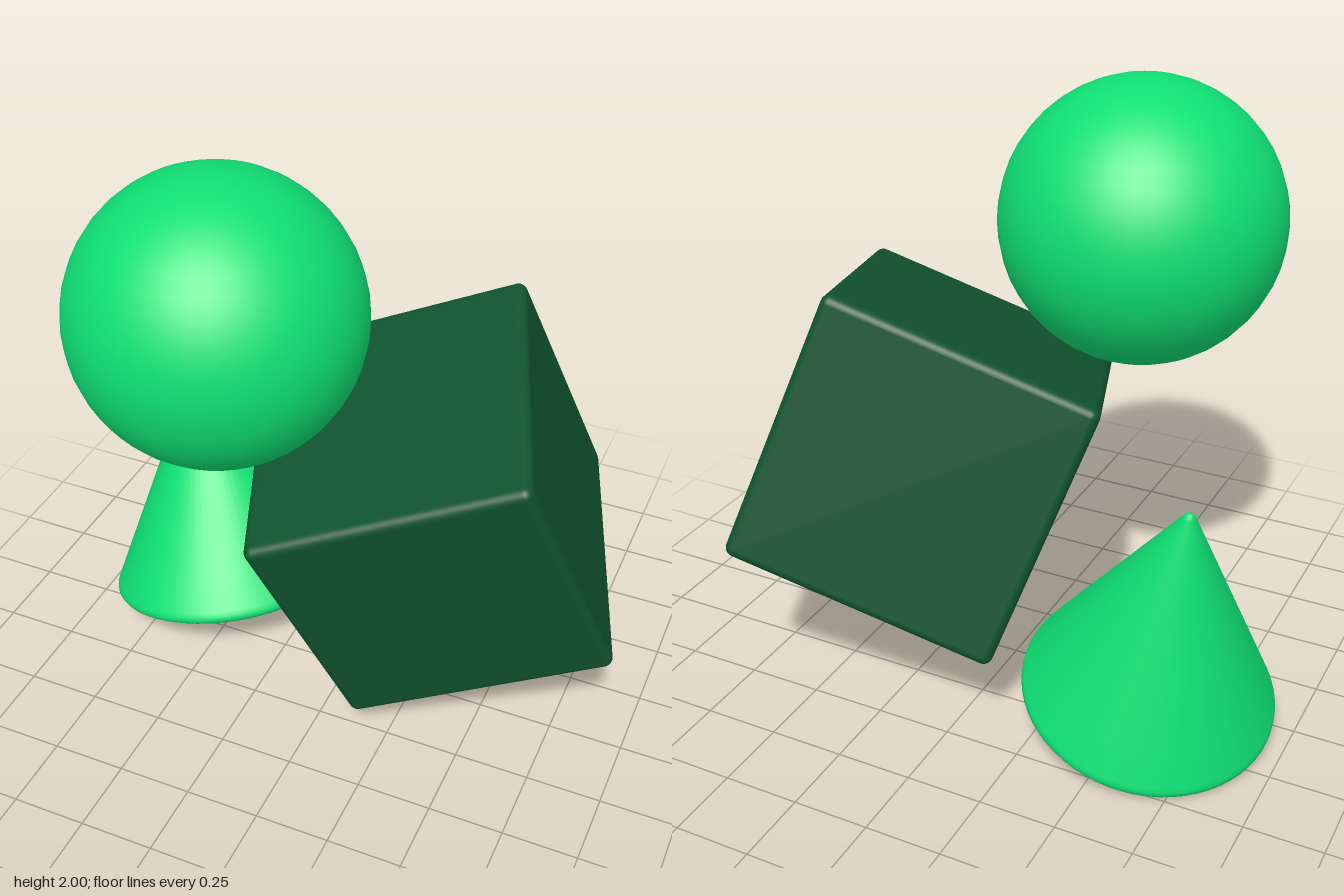
import * as THREE from 'three';
import { RoundedBoxGeometry } from 'three/addons/geometries/RoundedBoxGeometry.js';

export function createModel() {
  const group = new THREE.Group();
  const bright = new THREE.MeshStandardMaterial({ color: 0x0fe074 });
  const dark = new THREE.MeshStandardMaterial({ color: 0x10532f });

  const add = (name, geometry, material, position) => {
    const mesh = new THREE.Mesh(geometry, material);
    mesh.name = name;
    mesh.position.set(...position);
    group.add(mesh);
    return mesh;
  };

  // Ball resting on the cube's upper corner
  add('sphere', new THREE.SphereGeometry(0.453, 40, 24), bright, [-0.305, 1.546, 0.27]);

  // Tilted cube with softened edges
  const cube = add('cube', new RoundedBoxGeometry(0.9, 0.9, 0.9, 4, 0.03), dark, [0.278, 0.781, -0.074]);
  const xAxis = new THREE.Vector3(0.79, 0.315, -0.225).normalize();
  const yAxis = new THREE.Vector3(-0.24, 0.8, 0.26);
  const zAxis = new THREE.Vector3().crossVectors(xAxis, yAxis).normalize();
  yAxis.crossVectors(zAxis, xAxis);
  cube.quaternion.setFromRotationMatrix(new THREE.Matrix4().makeBasis(xAxis, yAxis, zAxis));

  // Leaning cone with rounded rim and tip
  const profile = [
    [0, 0], [0.3, 0], [0.375, 0], [0.39, 0.003], [0.403, 0.011], [0.41, 0.023], [0.409, 0.037], [0.403, 0.05],
    [0.36, 0.136], [0.06, 0.735], [0.02, 0.815], [0.015, 0.823], [0.008, 0.83], [0, 0.832],
  ].map(([r, y]) => new THREE.Vector2(r, y));
  const cone = add('cone', new THREE.LatheGeometry(profile, 64), bright, [-0.549, 0.11, -0.154]);
  cone.quaternion.setFromUnitVectors(
    new THREE.Vector3(0, 1, 0),
    new THREE.Vector3(-0.206, 0.957, -0.2).normalize(),
  );

  return group;
}
